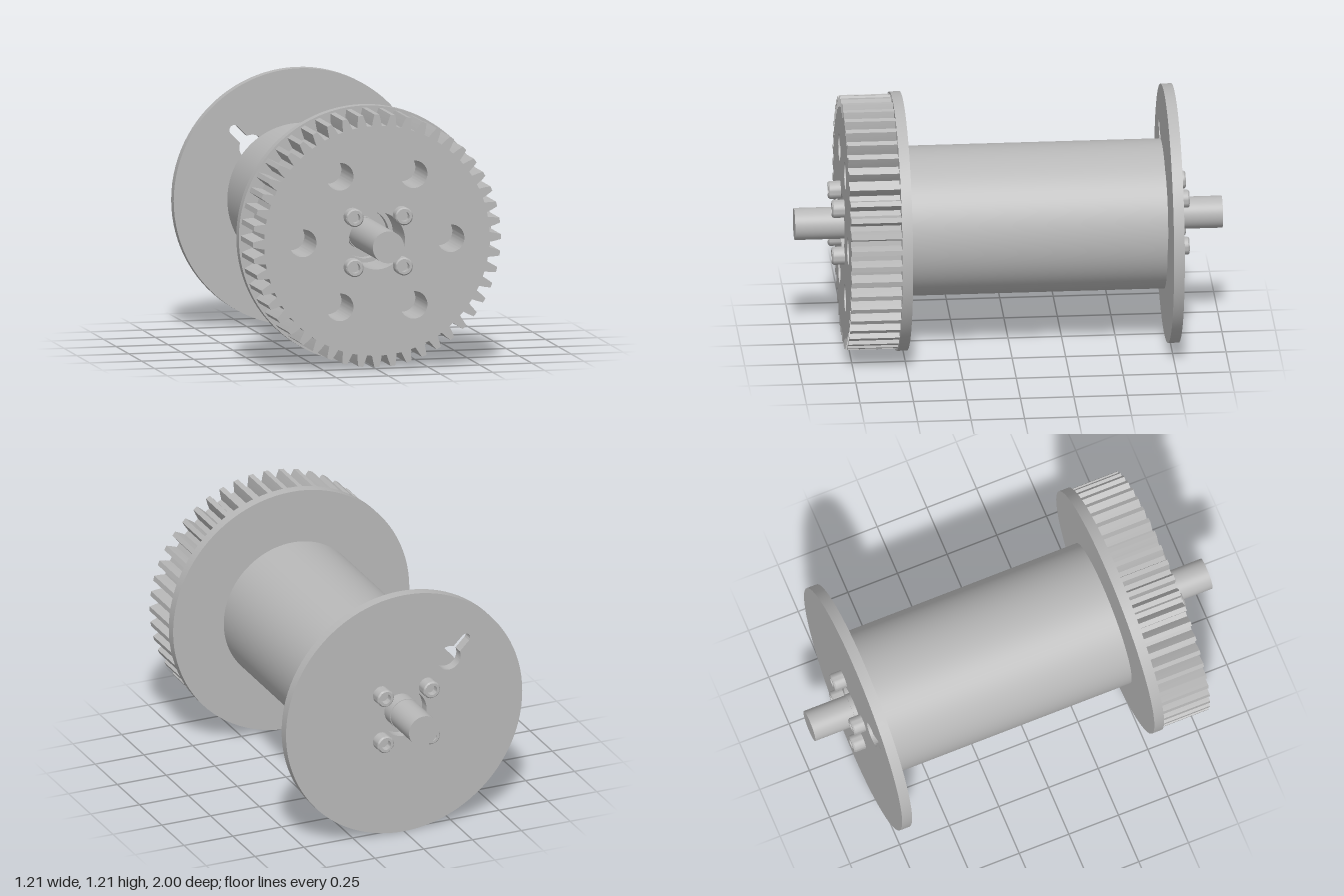
import * as THREE from 'three';
import { toCreasedNormals } from 'three/addons/utils/BufferGeometryUtils.js';

const AXIS_Y = 0.605;
const steel = new THREE.MeshStandardMaterial({ color: 0xb8b8b8 });
steel.name = 'steel grey';

function add(parent, name, geometry) {
  const mesh = new THREE.Mesh(geometry, steel);
  mesh.name = name;
  parent.add(mesh);
  return mesh;
}

// Cylinder lying along z between two planes
function rod(radius, z0, z1, segments = 64) {
  return new THREE.CylinderGeometry(radius, radius, z1 - z0, segments)
    .rotateX(Math.PI / 2)
    .translate(0, 0, (z0 + z1) / 2);
}

// Flat plate extruded between two z planes, with smooth rims and sharp edges
function plate(shape, z0, z1, curveSegments = 48) {
  const g = new THREE.ExtrudeGeometry(shape, { depth: z1 - z0, bevelEnabled: false, curveSegments });
  return toCreasedNormals(g.translate(0, 0, z0), 0.4);
}

function circle(path, x, y, r) {
  path.absarc(x, y, r, 0, Math.PI * 2, false);
  return path;
}

function flangeShape() {
  const shape = circle(new THREE.Shape(), 0, 0, 0.605);
  shape.holes.push(circle(new THREE.Path(), 0, 0, 0.115));
  return shape;
}

// Round hole running into a narrow slot, pointing up and outwards
function keyhole() {
  const path = new THREE.Path();
  const cx = -0.23, cy = 0.24, r = 0.06, half = 0.023, length = 0.12;
  const dir = Math.PI * 0.75, open = Math.asin(half / r);
  path.absarc(cx, cy, r, dir + open, dir - open + Math.PI * 2, false);
  path.absarc(cx + length * Math.cos(dir), cy + length * Math.sin(dir), half,
    dir - Math.PI / 2, dir + Math.PI / 2, false);
  path.closePath();
  return path;
}

function gearShape() {
  const teeth = 48, step = Math.PI * 2 / teeth;
  // Tooth outline: fraction of the pitch and radius
  const tooth = [[-0.33, 0.541], [-0.25, 0.567], [-0.15, 0.595], [0.15, 0.595], [0.25, 0.567], [0.33, 0.541]];
  const points = [];
  for (let i = 0; i < teeth; i++) {
    for (const [f, r] of tooth) {
      const a = Math.PI / 2 + (i + f) * step;
      points.push(new THREE.Vector2(r * Math.cos(a), r * Math.sin(a)));
    }
  }
  const shape = new THREE.Shape(points);
  shape.holes.push(circle(new THREE.Path(), 0, 0, 0.135));
  for (let i = 0; i < 6; i++) {
    const a = i * Math.PI / 3;
    shape.holes.push(circle(new THREE.Path(), 0.355 * Math.cos(a), 0.355 * Math.sin(a), 0.065));
  }
  return shape;
}

// Socket-head screw standing on z = 0, pointing to +z
function screwHead() {
  const profile = [[0.042, 0], [0.042, 0.051], [0.036, 0.058], [0.024, 0.058], [0.024, 0.025], [0, 0.025]]
    .map(([r, h]) => new THREE.Vector2(r, h));
  return toCreasedNormals(new THREE.LatheGeometry(profile, 32).rotateX(Math.PI / 2), 0.5);
}

export function createModel() {
  const model = new THREE.Group();
  model.name = 'gearedDrum';
  const body = new THREE.Group();
  body.name = 'drumAssembly';
  body.position.y = AXIS_Y;
  model.add(body);

  // Shaft, drum and the thin spacers against the flanges
  add(body, 'shaft', rod(0.075, -1, 1));
  add(body, 'shaftShoulder', rod(0.078, -0.795, 0.53));
  add(body, 'drum', rod(0.35, -0.72, 0.48, 96));
  add(body, 'drumSpacer', rod(0.25, -0.73, 0.49));

  // Flanges
  add(body, 'frontFlange', plate(flangeShape(), 0.49, 0.539));
  const back = flangeShape();
  back.holes.push(keyhole());
  add(body, 'backFlange', plate(back, -0.78, -0.73));

  // Spur gear
  add(body, 'gear', plate(gearShape(), 0.539, 0.775, 32));

  // Four screws on each end
  const head = screwHead();
  for (const x of [-0.118, 0.118]) {
    for (const y of [-0.118, 0.118]) {
      add(body, 'frontScrew', head).position.set(x, y, 0.775);
      const screw = add(body, 'backScrew', head);
      screw.position.set(x, y, -0.78);
      screw.rotation.y = Math.PI;
    }
  }
  return model;
}
